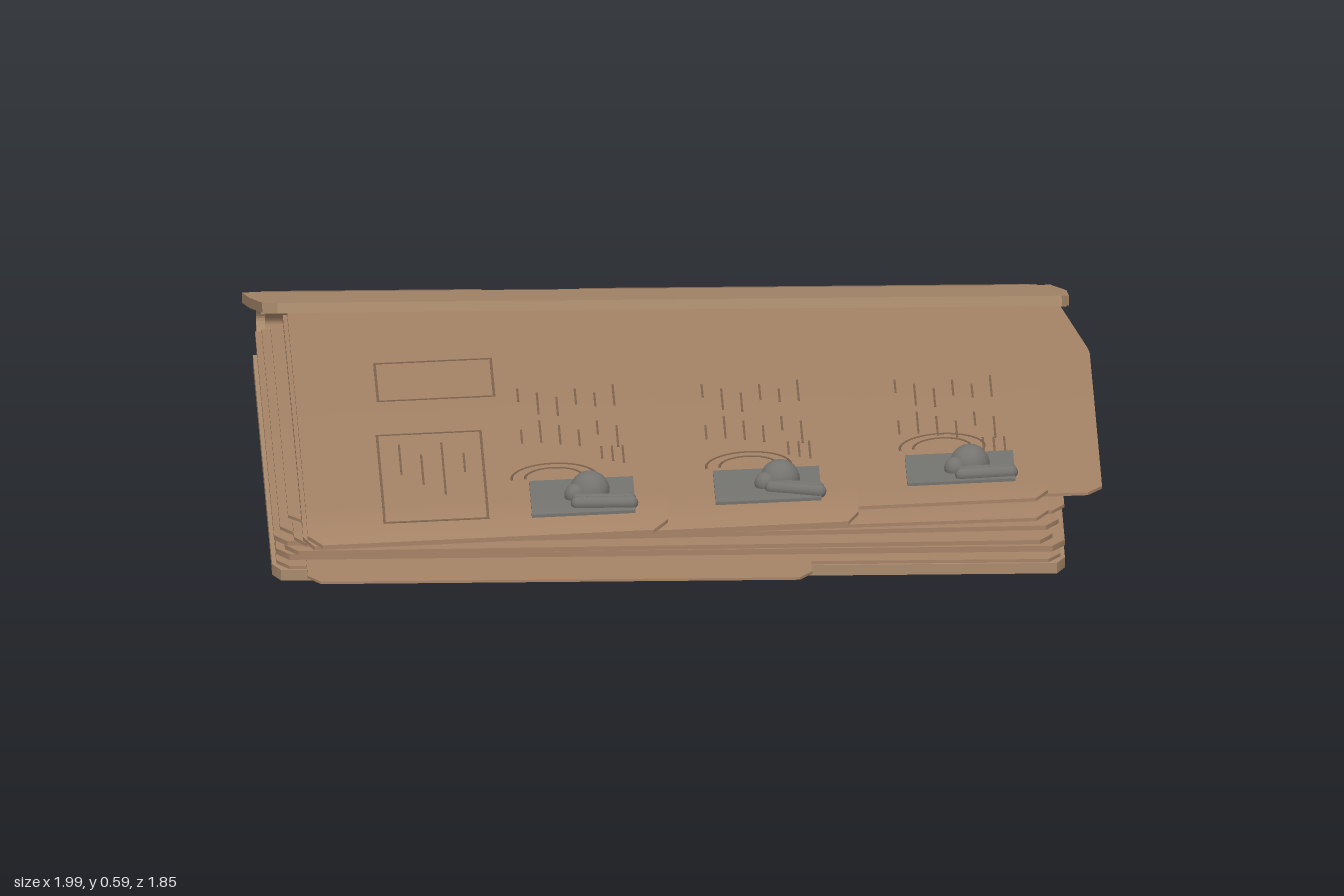
import * as THREE from 'three';

const material = (name, color, side = THREE.FrontSide) => {
  const m = new THREE.MeshStandardMaterial({ color, side });
  m.name = name;
  return m;
};

export function createModel() {
  const card = material('tan card', 0xa98a6c);
  const paper = material('tan paper', 0xa58366);
  const ink = material('brown ink', 0x7d634d);
  const grey = material('photo grey', 0x74736f);
  const model = new THREE.Group();
  model.name = 'openFolder';

  const add = (name, geometry, mat, parent = model) => {
    const mesh = new THREE.Mesh(geometry, mat);
    mesh.name = name;
    parent.add(mesh);
    return mesh;
  };

  // Gentle lift to the right, fall toward the spine and droop at the free edge
  const lift = (x, z) => {
    const droop = Math.max(0, (z - 0.72) / 0.2);
    return 0.04 * (x + 0.9) - 0.018 * Math.max(0, -z) - 0.028 * droop * droop;
  };

  // A bent sheet; level is its upper face before bending, bend scales the lift
  const sheet = (name, [x0, x1, z0, z1], level, thick, bend, mat, corner = 0, parent = model) => {
    const w = x1 - x0, d = z1 - z0;
    const g = new THREE.BoxGeometry(w, thick, d,
      Math.max(1, Math.ceil(w / 0.1)), 1, Math.max(1, Math.ceil(d / 0.045)));
    g.translate((x0 + x1) / 2, level - thick / 2, (z0 + z1) / 2);
    const p = g.attributes.position, mid = (x0 + x1) / 2;
    for (let i = 0; i < p.count; i++) {
      let x = p.getX(i);
      const z = p.getZ(i);
      const over = Math.max(0, z - (z1 - corner));
      if (corner) x = mid + (x - mid) * (1 - 2 * (corner - Math.sqrt(Math.max(0, corner * corner - over * over))) / w);
      p.setX(i, x);
      p.setY(i, p.getY(i) + bend * lift(x, z));
    }
    g.computeVertexNormals();
    return add(name, g, mat, parent);
  };

  // Curved band with a side profile of [z, y] points, swept across x
  const band = (name, points, thick, x0, x1, mat) => {
    const curve = new THREE.CatmullRomCurve3(points.map(([z, y]) => new THREE.Vector3(z, y, 0)));
    const outer = [], inner = [];
    for (let i = 0; i <= 24; i++) {
      const p = curve.getPoint(i / 24), t = curve.getTangent(i / 24);
      const nx = -t.y * thick / 2, ny = t.x * thick / 2;
      outer.push(new THREE.Vector2(p.x + nx, p.y + ny));
      inner.unshift(new THREE.Vector2(p.x - nx, p.y - ny));
    }
    const g = new THREE.ExtrudeGeometry(new THREE.Shape([...outer, ...inner]),
      { depth: x1 - x0, bevelEnabled: false });
    g.rotateY(-Math.PI / 2);
    g.translate(x1, 0, 0);
    return add(name, g, mat);
  };

  // Folder: base, rolled spine and raised lid
  sheet('baseBoard', [-0.97, 0.9, -0.81, 0.79], 0.026, 0.026, 0, card, 0.02);
  band('spine', [[-0.78, 0.014], [-0.83, 0.018], [-0.88, 0.045], [-0.905, 0.09],
    [-0.88, 0.13], [-0.83, 0.155], [-0.78, 0.176]], 0.028, -0.96, 0.905, card);
  band('spineLining', [[-0.76, 0.035], [-0.82, 0.04], [-0.86, 0.065], [-0.87, 0.09],
    [-0.85, 0.118], [-0.8, 0.14]], 0.014, -0.94, 0.89, paper);

  const lid = new THREE.Group();
  lid.name = 'lid';
  lid.position.set(0, 0.166, -0.82);
  lid.rotation.x = -Math.atan2(0.405, 1.29);
  model.add(lid);
  const outline = new THREE.Shape([[-0.97, 0], [-0.997, -0.05], [-0.998, -0.7], [-0.985, -1.34],
    [-0.95, -1.375], [0.9, -1.375], [0.918, -1.34], [0.93, -0.7], [0.912, 0]]
    .reverse().map(([x, y]) => new THREE.Vector2(x, y)));
  const lidShape = new THREE.ExtrudeGeometry(outline, { depth: 0.024, bevelEnabled: false });
  lidShape.rotateX(-Math.PI / 2);
  lidShape.translate(0, -0.012, 0);
  add('lidBoard', lidShape, card, lid);
  for (const [x, s] of [[-0.985, 1], [0.915, -1]]) {
    // Folded corner flaps inside the lid
    const tri = new THREE.Shape([new THREE.Vector2(0, 0), new THREE.Vector2(s * 0.08, 0), new THREE.Vector2(0, -0.13)]);
    const flap = new THREE.ExtrudeGeometry(tri, { depth: 0.005, bevelEnabled: false });
    flap.rotateX(-Math.PI / 2);
    flap.scale(1, 1, -1);
    flap.rotateZ(0);
    const index = [...Array(flap.attributes.position.count).keys()];
    for (let i = 0; i < index.length; i += 3) [index[i], index[i + 1]] = [index[i + 1], index[i]];
    flap.setIndex(index);
    flap.computeVertexNormals();
    flap.translate(x, -0.016, 1.36 - 0.13);
    add('cornerFlap', flap, card, lid);
  }
  // Hinge creases and seams
  for (const [x0, x1] of [[-0.95, -0.43], [-0.2, 0.88]]) {
    const crease = add('hingeCrease', new THREE.BoxGeometry(x1 - x0, 0.006, 0.006), ink, lid);
    crease.position.set((x0 + x1) / 2, 0.011, -0.012);
  }
  sheet('baseSeam', [-0.082, -0.078, -0.75, 0.1], 0.003, 0.004, 0, ink);

  // Loose sheets: extents, level, thickness, bend
  const stack = [
    [[-0.89, 0.3, -0.79, 0.93], 0.043, 0.006, 0],
    [[-0.96, 0.89, -0.8, 0.79], 0.036, 0.008, 0],
    [[-0.96, 0.9, -0.8, 0.78], 0.062, 0.014, 0.05],
    [[-0.94, 0.87, -0.78, 0.8], 0.077, 0.01, 0.15],
    [[-0.965, 0.885, -0.8, 0.77], 0.092, 0.011, 0.3],
    [[-0.95, 0.9, -0.79, 0.74], 0.104, 0.008, 0.5],
    [[-0.92, 0.86, -0.78, 0.84], 0.114, 0.008, 0.7],
  ];
  stack.forEach(([area, level, thick, bend]) => sheet('looseSheet', area, level, thick, bend, paper, 0.03));

  // Skewed sheet that sticks out on the left side
  const skewed = sheet('skewedSheet', [-0.93, 0.99, -0.78, 0.71], 0.122, 0.007, 0.7, paper, 0.035);
  const sp = skewed.geometry.attributes.position;
  for (let i = 0; i < sp.count; i++) {
    const x = sp.getX(i), back = Math.max(0, -0.35 - sp.getZ(i));
    if (x > 0) sp.setX(i, x * (1 - 0.17 * back));
  }
  skewed.geometry.computeVertexNormals();

  // Three overlapping record sheets, the lowest reaching furthest left
  sheet('recordSheet3', [-0.9, 0.86, -0.8, 0.81], 0.131, 0.008, 1, paper, 0.03);
  sheet('recordSheet2', [-0.9, 0.41, -0.8, 0.9], 0.142, 0.009, 1, paper, 0.025);
  sheet('recordSheet1', [-0.89, -0.04, -0.8, 0.915], 0.153, 0.009, 1, paper, 0.035);

  // Printed marks, laid on the bent sheets
  const mark = (x0, x1, z0, z1, level) => sheet('printedMark', [x0, x1, z0, z1], level + 0.0015, 0.003, 1, ink);
  const frame = (x0, x1, z0, z1, level) => {
    const t = 0.006;
    mark(x0, x0 + t, z0, z1, level);
    mark(x1 - t, x1, z0, z1, level);
    mark(x0, x1, z0, z0 + t, level);
    mark(x0, x1, z1 - t, z1, level);
  };
  frame(-0.71, -0.46, 0.2, 0.83, 0.153);
  frame(-0.7, -0.42, -0.35, -0.05, 0.153);
  for (let i = 0; i < 4; i++) {
    const x = -0.66 + i * 0.05;
    mark(x, x + 0.005, 0.28 + (i % 2) * 0.08, 0.5 + (i % 3) * 0.08, 0.153);
  }

  // Photos, each with a raised bust, a ring stamp and lines of writing
  const people = [
    { area: [-0.36, -0.115, 0.61, 0.835], head: [-0.22, 0.72], arm: [-0.25, 0.795, -0.125, 0.805], level: 0.153, ring: [-0.3, 0.57] },
    { area: [0.075, 0.325, 0.565, 0.79], head: [0.23, 0.67], arm: [0.21, 0.725, 0.32, 0.765], level: 0.142, ring: [0.16, 0.52] },
    { area: [0.53, 0.785, 0.485, 0.695], head: [0.68, 0.59], arm: [0.66, 0.665, 0.775, 0.66], level: 0.131, ring: [0.62, 0.42] },
  ];
  people.forEach(({ area, head: [hx, hz], arm: [ax, az, bx, bz], level, ring: [rx, rz] }) => {
    const photo = new THREE.Group();
    photo.name = 'photo';
    model.add(photo);
    const at = (x, z, up) => new THREE.Vector3(x, level + lift(x, z) + up, z);
    sheet('photoPlate', area, level + 0.007, 0.009, 1, grey, 0, photo);
    add('head', new THREE.SphereGeometry(0.047, 20, 14), grey, photo).position.copy(at(hx, hz, 0.014));
    add('chin', new THREE.SphereGeometry(0.026, 14, 10), grey, photo).position.copy(at(hx - 0.035, hz + 0.025, 0.014));
    for (const [dz, r] of [[0, 0.017], [-0.025, 0.013]]) {
      const path = new THREE.LineCurve3(at(ax, az + dz, 0.012), at(bx, bz + dz, 0.012));
      add('shoulder', new THREE.TubeGeometry(path, 1, r, 10), grey, photo);
      for (const end of [path.v1, path.v2])
        add('shoulderEnd', new THREE.SphereGeometry(r, 10, 8), grey, photo).position.copy(end);
    }
    // Stamp rings above the photo
    for (const r of [0.1, 0.068]) {
      const pts = [];
      for (let i = 0; i <= 20; i++) {
        const a = Math.PI * (0.95 + 1.1 * i / 20);
        pts.push(at(rx + r * Math.cos(a), rz + r * Math.sin(a), 0));
      }
      add('stampRing', new THREE.TubeGeometry(new THREE.CatmullRomCurve3(pts), 30, 0.003, 5), ink, photo);
    }
    // Dashed writing beside and behind the photo
    for (let i = 0; i < 6; i++) {
      const x = area[0] - 0.01 + i * 0.045;
      for (let j = 0; j < 2; j++) {
        const z = -0.1 + j * 0.25 + ((i * 7 + j * 3) % 5) * 0.02;
        mark(x, x + 0.005, z, z + 0.1 + ((i * 3) % 4) * 0.02, level);
      }
    }
    for (const i of [0, 1, 2]) mark(area[1] - 0.07 + i * 0.025, area[1] - 0.065 + i * 0.025, 0.36, 0.45 + i * 0.02, level);
  });

  return model;
}
